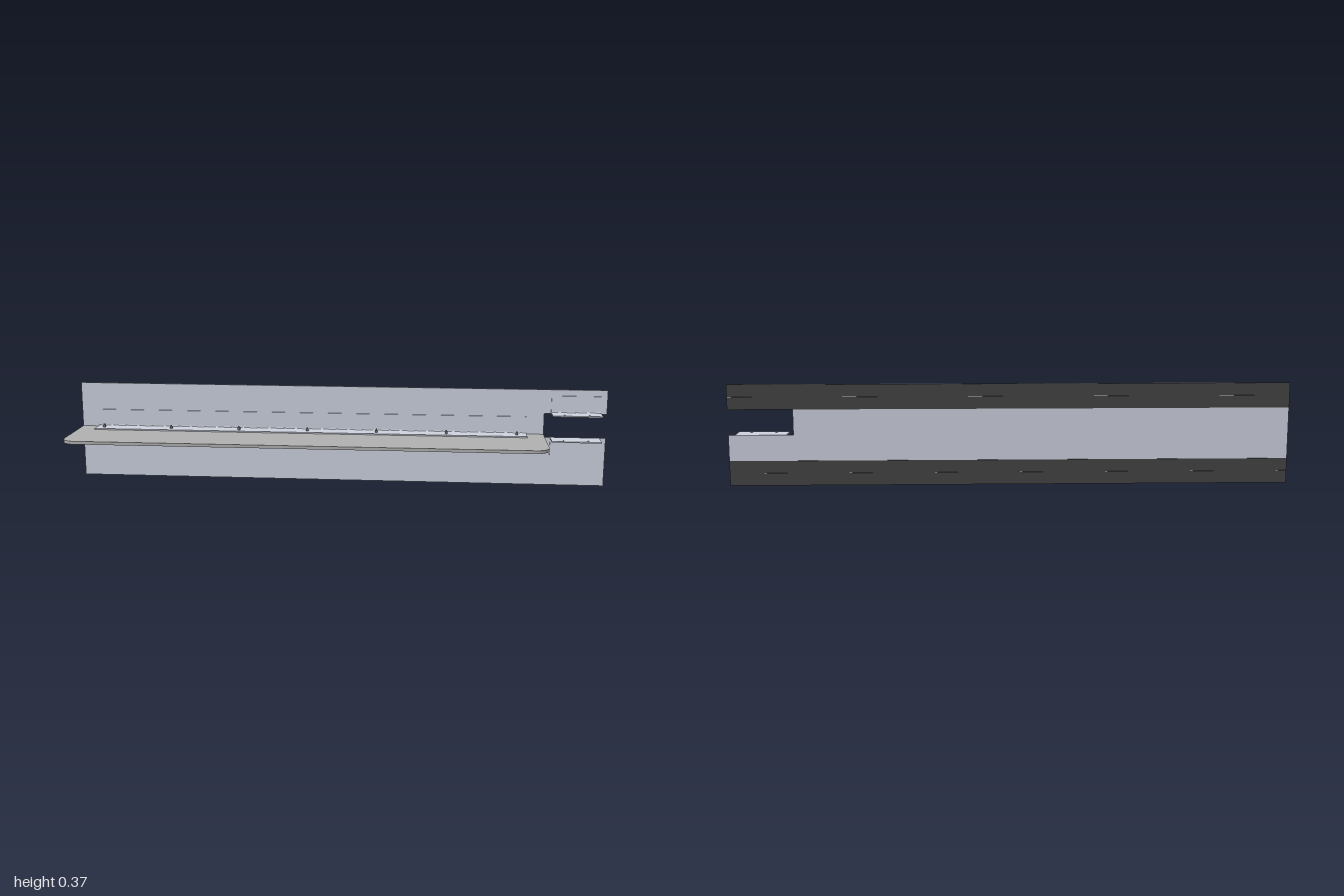
import * as THREE from 'three';

const mat = (color) => new THREE.MeshStandardMaterial({ color });
const PANEL_FRONT = -0.132, PANEL_BACK = -0.138;
const LEG = 0.067, T = 0.0045, FILLET = 0.005;

export function createModel() {
  const model = new THREE.Group();
  const metal = mat(0xcdd2de), board = mat(0xb0b0b0), dark = mat(0x444444), steel = mat(0x777777);

  const add = (parent, name, geometry, material, x = 0, y = 0, z = 0) => {
    const mesh = new THREE.Mesh(geometry, material);
    mesh.name = name;
    mesh.position.set(x, y, z);
    parent.add(mesh);
    return mesh;
  };
  const extrude = (shape, depth) =>
    new THREE.ExtrudeGeometry(shape, { depth, bevelEnabled: false, curveSegments: 8 });
  const polygon = (pts) => new THREE.Shape(pts.map(([x, y]) => new THREE.Vector2(x, y)));

  // Back panel with a notch open to the left end
  const panel = polygon([[-1, 0], [1, 0], [1, 0.183], [0.77, 0.183], [0.77, 0.275],
    [1, 0.275], [1, 0.365], [-1, 0.365]]);
  add(model, 'backPanel', extrude(panel, PANEL_FRONT - PANEL_BACK), metal, 0, 0, PANEL_BACK);

  // Paired dark strips along the top and bottom of the rear face
  for (const base of [0, 0.275]) {
    for (const i of [0, 1]) {
      add(model, 'rearStrip', new THREE.BoxGeometry(2, 0.0445, 0.002), dark,
        0, base + 0.0225 + i * 0.045, PANEL_BACK - 0.001);
    }
  }

  // Shelf board with rounded front corners
  const r = 0.05, x0 = -1, x1 = 0.77, zf = 0.14;
  const shelf = new THREE.Shape();
  shelf.moveTo(x0, PANEL_FRONT);
  shelf.lineTo(x1, PANEL_FRONT);
  shelf.lineTo(x1, zf - r);
  shelf.absarc(x1 - r, zf - r, r, 0, Math.PI / 2);
  shelf.lineTo(x0 + r, zf);
  shelf.absarc(x0 + r, zf - r, r, Math.PI / 2, Math.PI);
  shelf.closePath();
  add(model, 'shelf', extrude(shelf, 0.0115).rotateX(Math.PI / 2), board, 0, 0.1948, 0);

  // Angle bracket: drilled flange plus upright leg with a filleted root; dir is the leg's direction
  const addAngle = (name, xa, xb, y, dir, holes, holeZ) => {
    const group = new THREE.Group();
    group.name = name;
    const root = PANEL_FRONT + T + FILLET;
    const front = PANEL_FRONT + LEG;
    const flange = polygon([[xa, root], [xb, root], [xb, front], [xa, front]]);
    for (const hx of holes) {
      flange.holes.push(new THREE.Path().absarc(hx, holeZ, 0.004, 0, Math.PI * 2, true));
    }
    add(group, 'flange', extrude(flange, T).rotateX(Math.PI / 2), metal, 0, dir > 0 ? y + T : y);

    const leg = new THREE.Shape();
    leg.moveTo(PANEL_FRONT, 0);
    leg.lineTo(root, 0);
    leg.lineTo(root, dir * T);
    leg.quadraticCurveTo(PANEL_FRONT + T, dir * T, PANEL_FRONT + T, dir * (T + FILLET));
    leg.lineTo(PANEL_FRONT + T, dir * LEG);
    leg.lineTo(PANEL_FRONT, dir * LEG);
    leg.closePath();
    add(group, 'uprightLeg', extrude(leg, xb - xa).rotateY(-Math.PI / 2), metal, xb, y);
    model.add(group);
  };

  const boltZ = -0.093;
  const boltX = Array.from({ length: 7 }, (_, i) => -0.904 + i * 0.262);
  addAngle('upperShelfAngle', -0.935, 0.705, 0.1948, 1, boltX, boltZ);
  addAngle('lowerShelfAngle', -0.935, 0.705, 0.1833, -1, boltX, boltZ);
  addAngle('upperNotchAngle', 0.795, 0.977, 0.275, 1, [0.84, 0.93], -0.078);
  addAngle('lowerNotchAngle', 0.795, 0.977, 0.183, -1, [0.84, 0.93], -0.078);

  // Bolts clamping the angles to the shelf
  for (const x of boltX) {
    const bolt = new THREE.Group();
    bolt.name = 'bolt';
    add(bolt, 'shank', new THREE.CylinderGeometry(0.0032, 0.0032, 0.038, 12), steel, 0, 0.193, 0);
    add(bolt, 'nut', new THREE.CylinderGeometry(0.0057, 0.0057, 0.0085, 6), steel, 0, 0.2035, 0);
    add(bolt, 'head', new THREE.CylinderGeometry(0.0057, 0.0057, 0.005, 12), steel, 0, 0.1763, 0);
    bolt.position.set(x, 0, boltZ);
    model.add(bolt);
  }

  return model;
}
